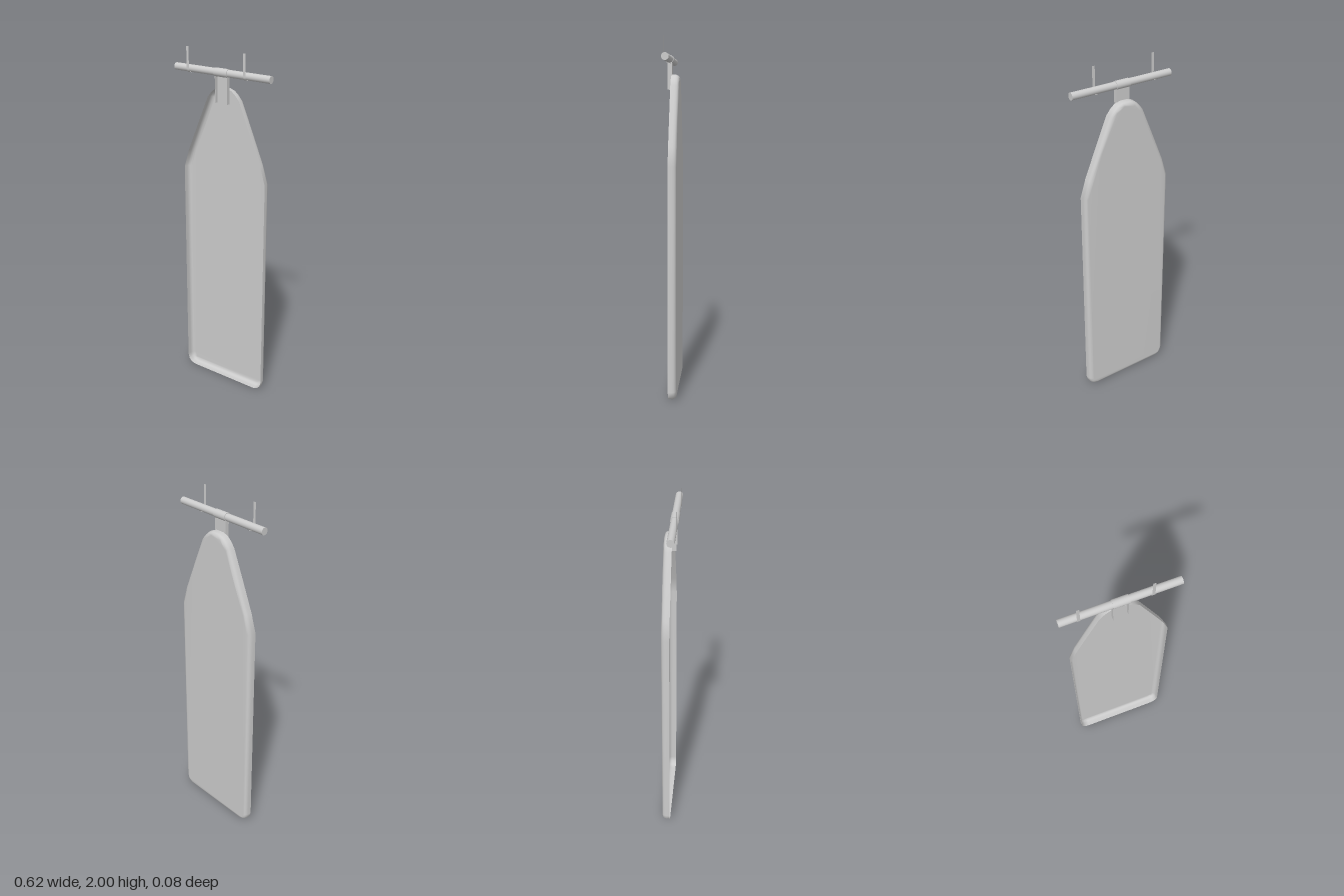
import * as THREE from 'three';

const grey = new THREE.MeshStandardMaterial({ color: 0xcccccc });
const thin = new THREE.MeshStandardMaterial({ color: 0xcccccc, side: THREE.DoubleSide });

const BAR_Y = 1.88, BAR_Z = 0.015;

function add(parent, name, geometry, material, x = 0, y = 0, z = 0) {
  const mesh = new THREE.Mesh(geometry, material);
  mesh.name = name;
  mesh.position.set(x, y, z);
  parent.add(mesh);
  return mesh;
}

// Right half of the board outline, bottom to top
const half = [
  [0.225, 0], [0.25, 0.008], [0.268, 0.026], [0.276, 0.055],
  [0.276, 1.305], [0.243, 1.41], [0.18, 1.56], [0.105, 1.735],
  [0.08, 1.765], [0.055, 1.786], [0.025, 1.797],
];

// Outline moved inwards by a fixed distance at every corner
function inset(points, d) {
  const n = points.length;
  return points.map((p, i) => {
    const a = p.clone().sub(points[(i + n - 1) % n]).normalize();
    const b = points[(i + 1) % n].clone().sub(p).normalize();
    const na = new THREE.Vector2(-a.y, a.x), nb = new THREE.Vector2(-b.y, b.x);
    const m = na.clone().add(nb).normalize();
    return p.clone().addScaledVector(m, d / m.dot(nb));
  });
}

// Shallow open tray: rings from the front rim round the bevel, closed by the back
function boardGeometry() {
  const right = half.map(([x, y]) => new THREE.Vector2(x, y));
  const left = half.map(([x, y]) => new THREE.Vector2(-x, y)).reverse();
  const outline = [...right, ...left];
  const n = outline.length;
  const section = [[0, 0.005], [0, -0.018], [0.004, -0.029], [0.01, -0.036], [0.02, -0.04]];
  const pos = [], idx = [];
  let ring;
  section.forEach(([d, z], r) => {
    ring = inset(outline, d);
    ring.forEach((p) => pos.push(p.x, p.y, z));
    if (r === 0) return;
    for (let i = 0; i < n; i++) {
      const j = (i + 1) % n, a = (r - 1) * n, b = r * n;
      idx.push(a + i, b + i, b + j, a + i, b + j, a + j);
    }
  });
  const base = (section.length - 1) * n;
  for (const [a, b, c] of THREE.ShapeUtils.triangulateShape(ring, [])) {
    idx.push(base + a, base + c, base + b);
  }
  const g = new THREE.BufferGeometry();
  g.setAttribute('position', new THREE.Float32BufferAttribute(pos, 3));
  g.setIndex(idx);
  g.computeVertexNormals();
  return g;
}

// Flat strap that drops in front of the bar and curls under it
function strapGeometry(width) {
  const path = [[2.0 - BAR_Y, 0.0225]];
  for (let i = 0; i <= 10; i++) {
    const t = (i / 10) * Math.PI * 0.75;
    path.push([-Math.sin(t) * 0.0225, Math.cos(t) * 0.0225]);
  }
  const pos = [], idx = [];
  path.forEach(([y, z], i) => {
    pos.push(-width / 2, y, z, width / 2, y, z);
    const k = 2 * i;
    if (i > 0) idx.push(k - 2, k, k + 1, k - 2, k + 1, k - 1);
  });
  const g = new THREE.BufferGeometry();
  g.setAttribute('position', new THREE.Float32BufferAttribute(pos, 3));
  g.setIndex(idx);
  g.computeVertexNormals();
  return g;
}

export function createModel() {
  const model = new THREE.Group();
  model.name = 'hangingIroningBoard';

  add(model, 'board', boardGeometry(), thin);

  // Horizontal bar with a sleeve at its middle
  const bar = new THREE.CylinderGeometry(0.02, 0.02, 0.62, 32).rotateZ(Math.PI / 2);
  add(model, 'bar', bar, grey, 0, BAR_Y, BAR_Z);
  const sleeve = new THREE.CylinderGeometry(0.023, 0.023, 0.084, 32).rotateZ(Math.PI / 2);
  add(model, 'sleeve', sleeve, grey, 0, BAR_Y, BAR_Z);

  // Channel bracket, open to the front, joining sleeve and board
  const bracket = new THREE.Group();
  bracket.name = 'bracket';
  model.add(bracket);
  add(bracket, 'bracketPlate', new THREE.BoxGeometry(0.08, 0.165, 0.002), grey, 0, 1.7975, 0.003);
  for (const s of [-1, 1]) {
    add(bracket, 'bracketFlange', new THREE.BoxGeometry(0.003, 0.165, 0.022), grey, s * 0.0395, 1.7975, 0.014);
  }

  // Hanging straps
  for (const x of [-0.214, 0.157]) {
    add(model, 'hangingStrap', strapGeometry(0.016), thin, x, BAR_Y, BAR_Z);
  }
  return model;
}
